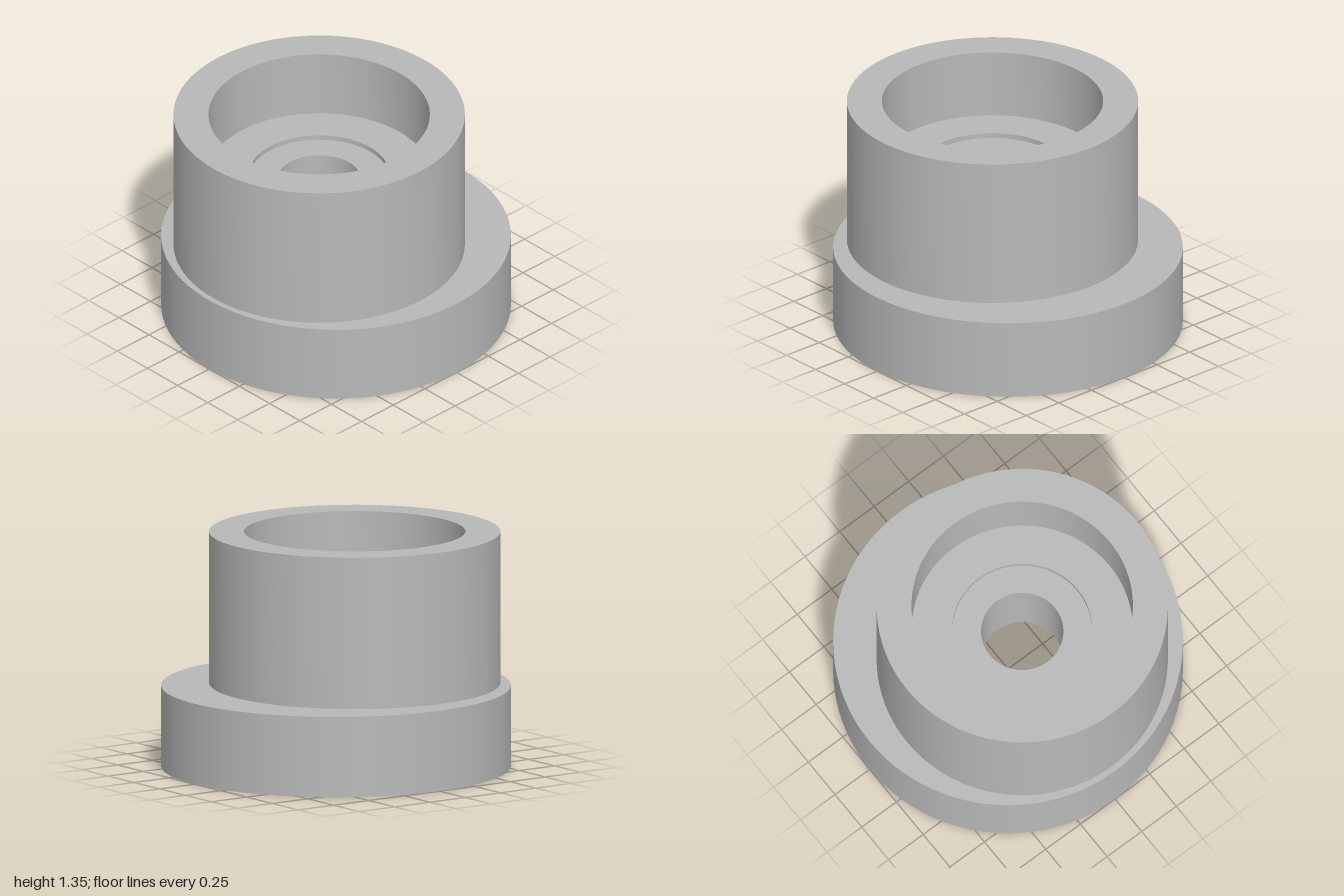
import * as THREE from 'three';
import { toCreasedNormals } from 'three/addons/utils/BufferGeometryUtils.js';

const SEGMENTS = 96;
const OFFSET = 0.133; // eccentricity of the sleeve along z
const FLANGE_R = 1, FLANGE_H = 0.467;
const SLEEVE_R = 0.833, TOP = 1.347;
const BORE_R = 0.633, BORE_DEPTH = 0.4;
const RECESS_R = 0.4, RECESS_DEPTH = 0.03;
const HOLE_R = 0.235;

// Flat disc with an off-centre round opening, facing up (+1) or down (-1)
function eccentricFace(holeRadius, y, facing) {
  const shape = new THREE.Shape().absarc(0, 0, FLANGE_R, 0, Math.PI * 2);
  shape.holes.push(new THREE.Path().absarc(0, -facing * OFFSET, holeRadius, 0, Math.PI * 2, true));
  return new THREE.ShapeGeometry(shape, SEGMENTS / 2)
    .rotateX(-facing * Math.PI / 2)
    .translate(0, y, 0);
}

export function createModel() {
  const steel = new THREE.MeshStandardMaterial({ color: 0xb8b8b8 });
  steel.name = 'grey steel';

  const model = new THREE.Group();
  model.name = 'eccentricFlangedBushing';
  const add = (name, geometry, parent = model) => {
    const mesh = new THREE.Mesh(geometry, steel);
    mesh.name = name;
    parent.add(mesh);
    return mesh;
  };

  // Base flange: rim wall plus the two eccentric faces
  const flange = new THREE.Group();
  flange.name = 'flange';
  model.add(flange);
  add('flangeRim', new THREE.CylinderGeometry(FLANGE_R, FLANGE_R, FLANGE_H, SEGMENTS, 1, true)
    .translate(0, FLANGE_H / 2, 0), flange);
  add('flangeTop', eccentricFace(SLEEVE_R, FLANGE_H, 1), flange);
  add('flangeBottom', eccentricFace(BORE_R, 0, -1), flange);

  // Sleeve: outer wall, top rim, then the stepped bore down to the underside
  const upperFloor = TOP - BORE_DEPTH;
  const profile = [
    [SLEEVE_R, FLANGE_H], [SLEEVE_R, TOP],
    [BORE_R, TOP], [BORE_R, upperFloor],
    [RECESS_R, upperFloor], [RECESS_R, upperFloor - RECESS_DEPTH],
    [HOLE_R, upperFloor - RECESS_DEPTH], [HOLE_R, BORE_DEPTH + RECESS_DEPTH],
    [RECESS_R, BORE_DEPTH + RECESS_DEPTH], [RECESS_R, BORE_DEPTH],
    [BORE_R, BORE_DEPTH], [BORE_R, 0],
  ].map(([r, y]) => new THREE.Vector2(r, y));
  const sleeve = add('sleeveWithSteppedBore',
    toCreasedNormals(new THREE.LatheGeometry(profile, SEGMENTS), Math.PI / 6));
  sleeve.position.z = OFFSET;

  return model;
}
